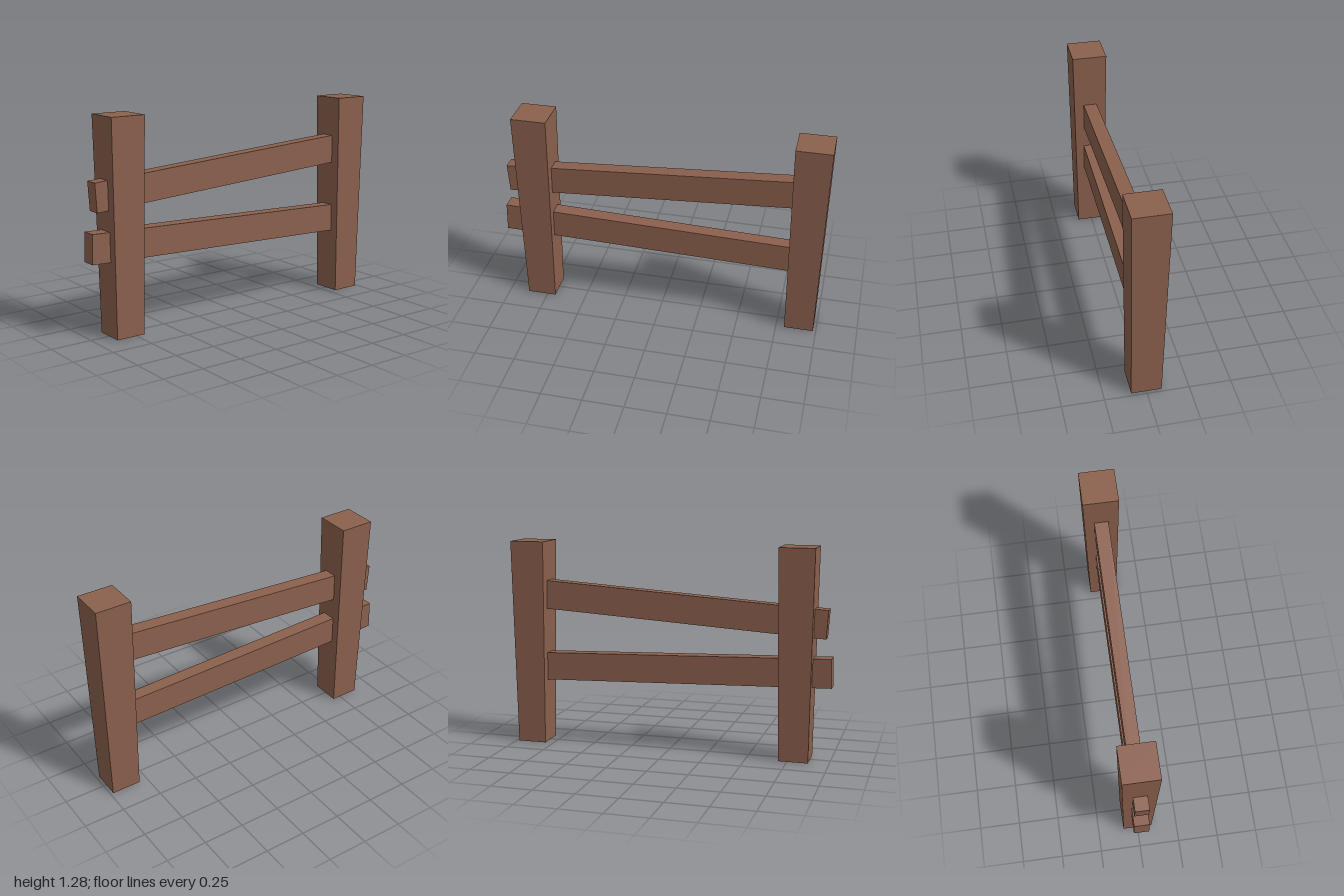
import * as THREE from 'three';

const wood = new THREE.MeshStandardMaterial({ color: 0x8b604d });
wood.name = 'brown wood';

// Straight beam along +y whose cross-section changes from [x, z] size a to size b
function beam(name, length, a, b) {
  const geometry = new THREE.BoxGeometry(1, length, 1).toNonIndexed();
  const p = geometry.attributes.position;
  for (let i = 0; i < p.count; i++) {
    const size = p.getY(i) > 0 ? b : a;
    p.setX(i, p.getX(i) * size[0]);
    p.setZ(i, p.getZ(i) * size[1]);
  }
  geometry.computeVertexNormals();
  const mesh = new THREE.Mesh(geometry, wood);
  mesh.name = name;
  return mesh;
}

// Post that widens toward its top
function post(name, z) {
  const mesh = beam(name, 1.28, [0.18, 0.18], [0.215, 0.215]);
  mesh.position.set(0, 0.64, z);
  return mesh;
}

// Sloping rail between two centre points given as [y, z]
function rail(name, front, back, frontSize, backSize) {
  const from = new THREE.Vector3(0, ...front);
  const to = new THREE.Vector3(0, ...back);
  const mesh = beam(name, from.distanceTo(to), frontSize, backSize);
  mesh.position.copy(from).add(to).multiplyScalar(0.5);
  mesh.rotation.x = Math.atan2(to.z - from.z, to.y - from.y);
  return mesh;
}

export function createModel() {
  const group = new THREE.Group();
  group.name = 'fence';
  group.add(
    post('frontPost', 0.787),
    post('backPost', -0.892),
    // The rails pass through the front post and end inside the back post
    rail('upperRail', [0.83, 0.965], [0.953, -0.9], [0.084, 0.172], [0.086, 0.177]),
    rail('lowerRail', [0.541, 0.998], [0.486, -0.9], [0.092, 0.175], [0.082, 0.173]),
  );
  return group;
}
